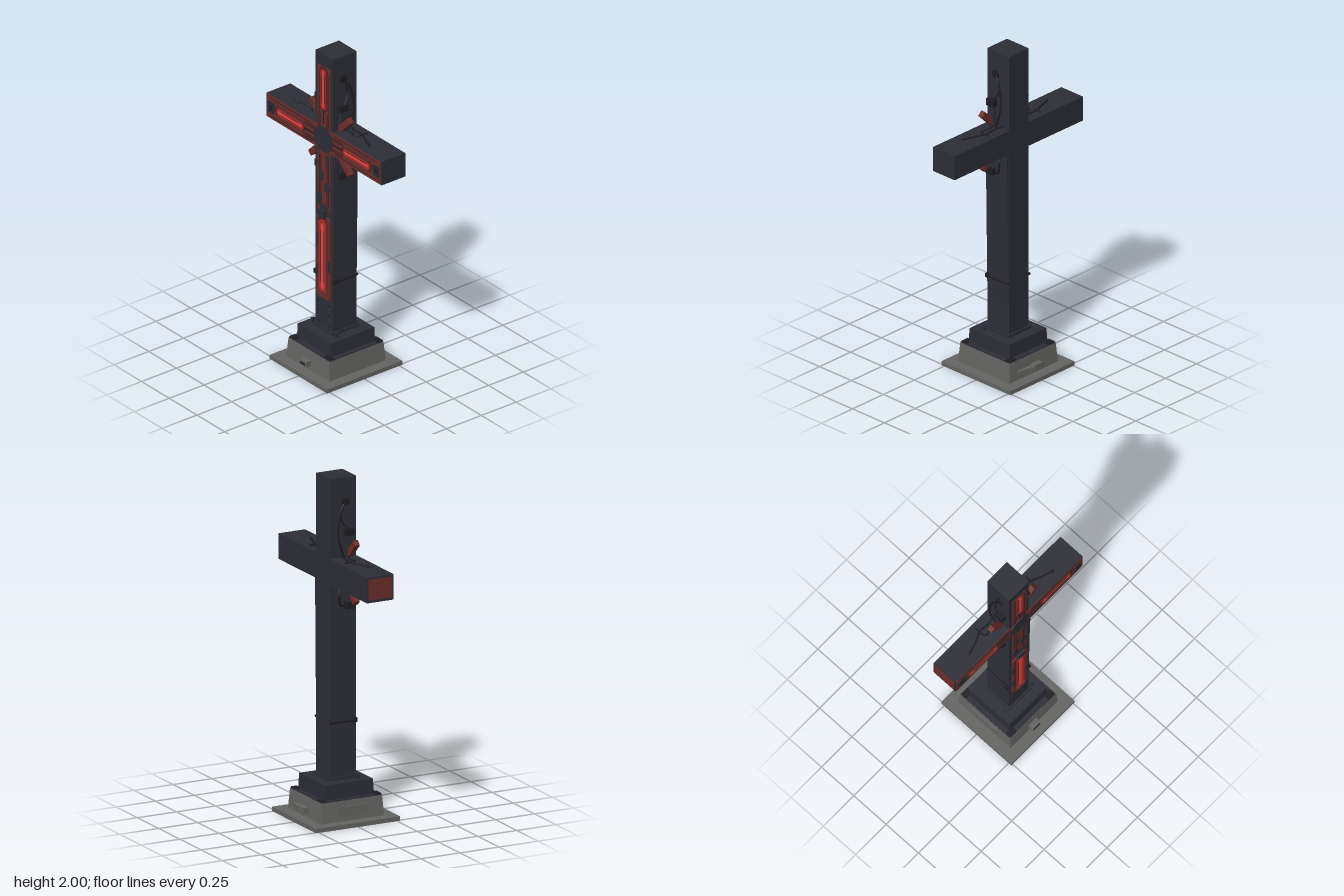
import * as THREE from 'three';

const mat = (name, color) => {
  const m = new THREE.MeshStandardMaterial({ color });
  m.name = name;
  return m;
};

export function createModel() {
  const root = new THREE.Group();
  root.name = 'monument';
  const dark = mat('darkMetal', 0x2d2d37);
  const black = mat('blackCable', 0x1e1e23);
  const rust = mat('rustRed', 0x6a2e2b);
  const deep = mat('deepRust', 0x4a2424);
  const red = mat('red', 0xb42a26);
  const glow = mat('glowRed', 0xe84444);
  const stone = mat('stone', 0x646462);

  const add = (name, geo, m, x = 0, y = 0, z = 0, parent = root) => {
    const o = new THREE.Mesh(geo, m);
    o.name = name;
    o.position.set(x, y, z);
    parent.add(o);
    return o;
  };
  const box = (name, m, w, h, d, x, y, z, parent) =>
    add(name, new THREE.BoxGeometry(w, h, d), m, x, y, z, parent);

  // Box whose top is scaled towards its centre
  const taper = (name, m, w, h, d, s, y) => {
    const g = new THREE.BoxGeometry(w, h, d), p = g.attributes.position;
    for (let i = 0; i < p.count; i++)
      if (p.getY(i) > 0) p.setXYZ(i, p.getX(i) * s, p.getY(i), p.getZ(i) * s);
    g.computeVertexNormals();
    return add(name, g, m, 0, y + h / 2, 0);
  };

  // Plate with cut corners, from z0 to z0 + t
  const plate = (name, m, w, h, c, t, x, y, z0, parent) => {
    const a = w / 2, b = h / 2;
    const s = new THREE.Shape([[-a + c, -b], [a - c, -b], [a, -b + c], [a, b - c],
      [a - c, b], [-a + c, b], [-a, b - c], [-a, -b + c]].map(q => new THREE.Vector2(...q)));
    return add(name, new THREE.ExtrudeGeometry(s, { depth: t, bevelEnabled: false }), m, x, y, z0, parent);
  };
  const bolt = (x, y, z, parent, r = 0.006) => {
    const b = add('bolt', new THREE.CylinderGeometry(r, r, 0.006, 6), black, x, y, z, parent);
    b.rotation.x = Math.PI / 2;
  };
  const cable = (name, pts, r, parent) => add(name, new THREE.TubeGeometry(
    new THREE.CatmullRomCurve3(pts.map(p => new THREE.Vector3(...p))), 20, r, 6), black, 0, 0, 0, parent);

  // Stepped base
  box('baseSlab', stone, 0.52, 0.025, 0.54, 0, 0.0125, 0);
  taper('baseBlock', stone, 0.39, 0.118, 0.405, 0.955, 0.025);
  box('blockCap', dark, 0.37, 0.006, 0.384, 0, 0.145, 0);
  taper('baseStep', dark, 0.31, 0.088, 0.315, 0.98, 0.147);
  box('postCollar', dark, 0.18, 0.02, 0.19, 0, 0.243, 0);
  box('frontLatch', stone, 0.065, 0.035, 0.035, -0.01, 0.067, 0.214);
  box('latchSlot', black, 0.045, 0.012, 0.004, -0.01, 0.065, 0.232);
  box('backLatch', stone, 0.065, 0.04, 0.035, -0.01, 0.067, -0.214);
  const wedge = new THREE.Shape([[0.02, 0.195], [0.13, 0.195], [0.13, 0.208], [0.02, 0.231]]
    .map(q => new THREE.Vector2(...q)));
  const w = add('backWedge', new THREE.ExtrudeGeometry(wedge, { depth: 0.03, bevelEnabled: false }), stone, 0, 0.05, 0);
  w.rotation.x = -Math.PI / 2;
  box('sidePanel', stone, 0.008, 0.06, 0.2, -0.193, 0.08, 0);
  for (const x of [-1, 1]) {
    box('stepTab', dark, 0.012, 0.035, 0.02, x * 0.11, 0.248, 0.08);
    for (const z of [-1, 1]) box('cornerClip', black, 0.05, 0.008, 0.035, x * 0.155, 0.15, z * 0.172);
  }

  // Post, crossbar and the slanting side filler
  box('post', dark, 0.16, 1.76, 0.17, 0, 1.12, 0);
  box('crossbar', dark, 1.04, 0.15, 0.17, 0, 1.46, 0);
  const slant = new THREE.Shape([[0.07, 0.45], [0.081, 0.45], [0.094, 1.385], [0.07, 1.385]]
    .map(q => new THREE.Vector2(...q)));
  add('sideFiller', new THREE.ExtrudeGeometry(slant, { depth: 0.166, bevelEnabled: false }), dark, 0, 0, -0.083);
  box('endPanel', rust, 0.004, 0.12, 0.15, -0.521, 1.46, 0);

  // Glowing channel: red bed, side rails and bright centre bars
  const channel = (width, length, y, z, parent) => {
    plate('channelFrame', deep, width + 0.024, length + 0.03, 0.02, 0.003, 0, y, z, parent);
    plate('channelBed', red, width, length, width * 0.3, 0.003, 0, y, z + 0.002, parent);
    plate('channelLight', glow, width * 0.4, length * 0.9, width * 0.15, 0.003, 0, y, z + 0.004, parent);
    for (const s of [-1, 1]) {
      box('channelRail', rust, 0.006, length * 0.94, 0.006, s * (width / 2 + 0.004), y, z + 0.004, parent);
      box('channelGroove', black, 0.002, length * 0.7, 0.002, s * width * 0.23, y, z + 0.006, parent);
    }
  };

  // Front of the three short arms, each drawn pointing up from the crossing
  const arm = (name, angle, length, width, glowLo, glowHi, boxed) => {
    const g = new THREE.Group();
    g.name = name;
    g.position.set(0, 1.46, 0.085);
    g.rotation.z = angle;
    root.add(g);
    const mid = (0.06 + length) / 2;
    plate('armPlate', rust, width, length - 0.06, 0.008, 0.003, 0, mid, 0, g);
    for (const s of [-1, 1]) {
      box('edgeGroove', black, 0.003, length - 0.14, 0.002, s * (width / 2 - 0.016), mid, 0.0035, g);
      plate('shoulder', deep, 0.022, 0.1, 0.006, 0.006, s * 0.037, 0.12, 0, g);
    }
    channel(0.044, glowHi - glowLo, (glowLo + glowHi) / 2, 0.003, g);
    box('linkBar', black, 0.008, 0.08, 0.006, 0, glowLo - 0.05, 0.004, g);
    if (boxed) {
      plate('endBox', dark, 0.07, 0.055, 0.006, 0.005, 0, 0.475, 0.002, g);
      plate('endSlot', black, 0.035, 0.022, 0.004, 0.003, 0, 0.475, 0.006, g);
      for (const x of [-1, 1]) for (const y of [0.455, 0.495]) bolt(x * 0.027, y, 0.007, g, 0.004);
    }
  };
  arm('topArmFront', 0, 0.465, 0.115, 0.19, 0.45, false);
  arm('leftArmFront', -Math.PI / 2, 0.515, 0.146, 0.18, 0.42, true);
  arm('rightArmFront', Math.PI / 2, 0.515, 0.146, 0.18, 0.42, true);

  // Lower front: worn plates above a raised channel panel
  plate('upperPlate', rust, 0.115, 0.42, 0.012, 0.003, 0, 1.2, 0.085);
  for (const s of [-1, 1]) {
    box('plateGroove', black, 0.003, 0.36, 0.002, s * 0.04, 1.2, 0.0885);
    box('plateRib', deep, 0.012, 0.3, 0.006, s * 0.028, 1.2, 0.088);
  }
  for (const [x, y, pw, ph] of [[-0.035, 1.07, 0.04, 0.08], [0.03, 1.16, 0.045, 0.06],
    [-0.02, 1.22, 0.035, 0.07], [0.035, 1.33, 0.03, 0.08], [0.01, 1.01, 0.07, 0.07]])
    plate('wornPatch', dark, pw, ph, 0.012, 0.003, x, y, 0.089);
  plate('lowerPanel', rust, 0.12, 0.53, 0.015, 0.008, 0, 0.705, 0.085);
  channel(0.06, 0.47, 0.71, 0.092, root);
  box('panelLatch', dark, 0.05, 0.05, 0.02, 0, 0.985, 0.098);
  box('panelFoot', rust, 0.07, 0.025, 0.016, 0, 0.475, 0.096);
  for (const [x, y] of [[-0.05, 0.8], [0.05, 0.66], [-0.052, 0.6]])
    plate('wornPatch', dark, 0.022, 0.08, 0.007, 0.004, x, y, 0.09);
  plate('servicePlate', dark, 0.13, 0.16, 0.008, 0.003, 0, 0.345, 0.085);
  for (const x of [-0.05, 0.05]) for (const y of [0.28, 0.345, 0.41]) bolt(x, y, 0.09);
  for (const x of [-0.065, 0.065]) bolt(x, 1.95, 0.087);

  // Octagonal hub with diagonal spikes behind it
  const hub = add('hub', new THREE.CylinderGeometry(0.085, 0.085, 0.012, 8), dark, 0, 1.46, 0.088);
  hub.rotation.set(Math.PI / 2, Math.PI / 8, 0);
  for (let i = 0; i < 4; i++) {
    const a = Math.PI / 4 + i * Math.PI / 2;
    const spike = box('spike', rust, 0.17, 0.036, 0.03, Math.cos(a) * 0.165, 1.46 + Math.sin(a) * 0.165, 0.035);
    spike.rotation.z = a;
  }

  // Cables and connectors on both sides
  for (const s of [-1, 1]) {
    const g = new THREE.Group();
    g.name = s > 0 ? 'leftCables' : 'rightCables';
    root.add(g);
    cable('upperCable', [[s * 0.08, 1.86, 0.02], [s * 0.095, 1.83, -0.01], [s * 0.1, 1.72, -0.042],
      [s * 0.11, 1.62, -0.035], [s * 0.1, 1.53, 0]], 0.006, g);
    cable('innerCable', [[s * 0.08, 1.86, 0.01], [s * 0.088, 1.76, -0.015], [s * 0.11, 1.69, 0.03]], 0.005, g);
    const cap = add('cableSocket', new THREE.CylinderGeometry(0.024, 0.024, 0.014, 12), black, s * 0.084, 1.86, 0.015, g);
    cap.rotation.z = Math.PI / 2;
    box('upperConnector', black, 0.035, 0.04, 0.055, s * 0.1, 1.685, 0.032, g);
    box('connectorStem', dark, 0.02, 0.13, 0.03, s * 0.093, 1.6, 0.03, g);
    cable('topCable', [[s * 0.08, 1.545, -0.035], [s * 0.14, 1.541, -0.02], [s * 0.2, 1.541, -0.025],
      [s * 0.27, 1.539, 0.002], [s * 0.35, 1.537, 0.028]], 0.006, g);
    cable('topBranch', [[s * 0.09, 1.54, 0.02], [s * 0.15, 1.54, 0.01], [s * 0.2, 1.54, 0.015], [s * 0.21, 1.54, -0.06]], 0.005, g);
    cable('underCable', [[s * 0.1, 1.385, -0.01], [s * 0.2, 1.38, -0.02], [s * 0.35, 1.383, 0.03]], 0.005, g);
    cable('lowerCable', [[s * 0.09, 1.39, -0.02], [s * 0.115, 1.33, -0.042], [s * 0.105, 1.26, -0.025],
      [s * 0.09, 1.25, 0.02]], 0.006, g);
    box('lowerConnector', black, 0.035, 0.04, 0.055, s * 0.1, 1.255, 0.035, g);
    box('lowerStem', dark, 0.02, 0.11, 0.03, s * 0.093, 1.325, 0.03, g);
    // Clamp rod low on the post
    const rod = add('clampRod', new THREE.CylinderGeometry(0.008, 0.008, 0.17, 8), black, s * 0.087, 0.575, 0, g);
    rod.rotation.x = Math.PI / 2;
    box('clampEnd', black, 0.02, 0.026, 0.02, s * 0.087, 0.575, 0.075, g);
  }
  return root;
}
